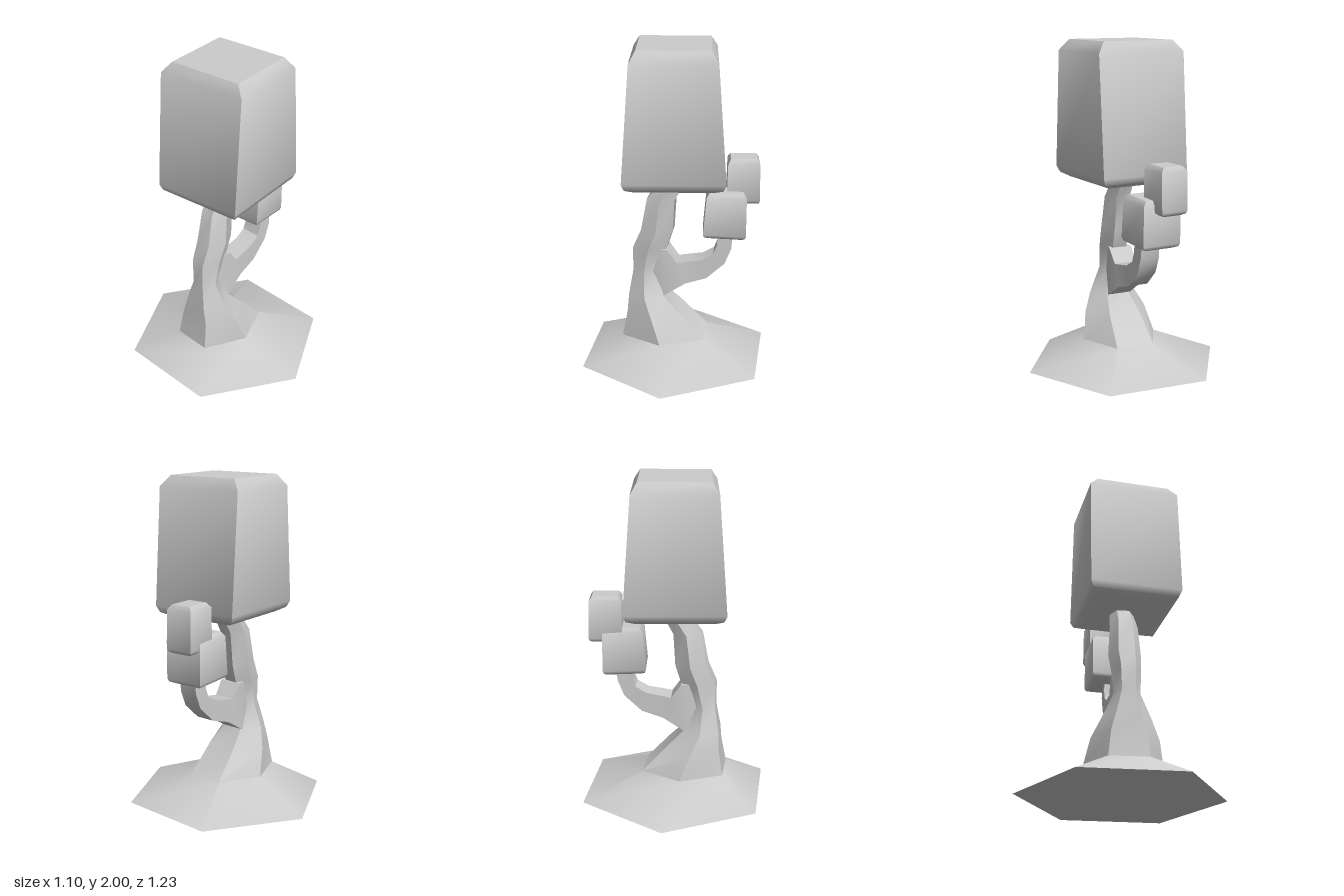
import * as THREE from 'three';
import { toCreasedNormals } from 'three/addons/utils/BufferGeometryUtils.js';

const material = new THREE.MeshStandardMaterial({ color: 0xcccccc });

// Skin a stack of rings (each counterclockwise seen from the tip) and cap both ends.
function loft(name, rings, crease = 0.6) {
  const n = rings[0].length, last = (rings.length - 1) * n;
  const pos = rings.flat(2), index = [];
  for (let i = 0; i < rings.length - 1; i++) {
    for (let j = 0; j < n; j++) {
      const a = i * n + j, b = i * n + (j + 1) % n;
      index.push(a, b, b + n, a, b + n, a + n);
    }
  }
  for (let j = 1; j < n - 1; j++) {
    index.push(0, j + 1, j, last, last + j, last + j + 1);
  }
  const geometry = new THREE.BufferGeometry();
  geometry.setAttribute('position', new THREE.Float32BufferAttribute(pos, 3));
  geometry.setIndex(index);
  const mesh = new THREE.Mesh(toCreasedNormals(geometry, crease), material);
  mesh.name = name;
  return mesh;
}

// Six-sided trunk section
function hexRing([y, cx, rx, rz]) {
  return Array.from({ length: 6 }, (_, k) => {
    const a = THREE.MathUtils.degToRad(86.7 + 60 * k);
    return [cx + rx * Math.cos(a), y, -rz * Math.sin(a)];
  });
}

// Four-sided branch section from its under and upper points
function branchRing([bx, by, tx, ty, w]) {
  return [[bx, by, -w], [tx, ty, -w], [tx, ty, w], [bx, by, w]];
}

// Foliage block: sides taper in x, top and bottom rims are bevelled
function foliage(name, { h, bottom, top, depth, bevel }) {
  const profile = [
    [0, bottom - bevel, depth - bevel],
    [bevel * 0.4, bottom - bevel * 0.25, depth - bevel * 0.25],
    [bevel, bottom, depth],
    [h - bevel, top, depth],
    [h, top - bevel * 0.6, depth - bevel * 0.8],
  ];
  return loft(name, profile.map(([y, x, z]) => [[x, y, -z], [-x, y, -z], [-x, y, z], [x, y, z]]), 0.7);
}

export function createModel() {
  const tree = new THREE.Group();
  tree.name = 'tree';

  // Ground flare and bent trunk: y, centre x, radius x, radius z
  tree.add(loft('trunk', [
    [0, 0, 0.02, 0.02],
    [0.015, 0, 0.615, 0.615],
    [0.16, -0.06, 0.29, 0.235],
    [0.32, -0.12, 0.19, 0.2],
    [0.43, -0.17, 0.125, 0.145],
    [0.58, -0.18, 0.085, 0.078],
    [0.73, -0.15, 0.12, 0.088],
    [0.85, -0.105, 0.112, 0.098],
    [1.05, -0.08, 0.098, 0.085],
    [1.17, 0, 0.085, 0.075],
    [1.28, 0.03, 0.07, 0.065],
  ].map(hexRing)));

  // Side branch curving up: under x, y, upper x, y, half width
  tree.add(loft('branch', [
    [-0.16, 0.44, -0.14, 0.74, 0.05],
    [-0.06, 0.43, -0.04, 0.73, 0.075],
    [0.07, 0.51, 0.02, 0.645, 0.068],
    [0.2, 0.55, 0.17, 0.67, 0.062],
    [0.31, 0.65, 0.24, 0.71, 0.06],
    [0.35, 0.75, 0.262, 0.77, 0.06],
    [0.36, 0.88, 0.27, 0.88, 0.055],
  ].map(branchRing)));

  // Foliage blocks
  const crown = foliage('crown', { h: 0.835, bottom: 0.304, top: 0.252, depth: 0.28, bevel: 0.065 });
  crown.position.set(0, 1.165, 0.02);
  crown.rotation.y = 0.066;

  const lower = foliage('lowerFoliage', { h: 0.295, bottom: 0.13, top: 0.12, depth: 0.123, bevel: 0.03 });
  lower.position.set(0.3, 0.815, -0.03);
  lower.rotation.set(0, 0.05, -0.045);

  const upper = foliage('upperFoliage', { h: 0.285, bottom: 0.101, top: 0.095, depth: 0.085, bevel: 0.028 });
  upper.position.set(0.41, 1.02, -0.068);
  upper.rotation.y = 0.066;

  tree.add(crown, lower, upper);
  return tree;
}
